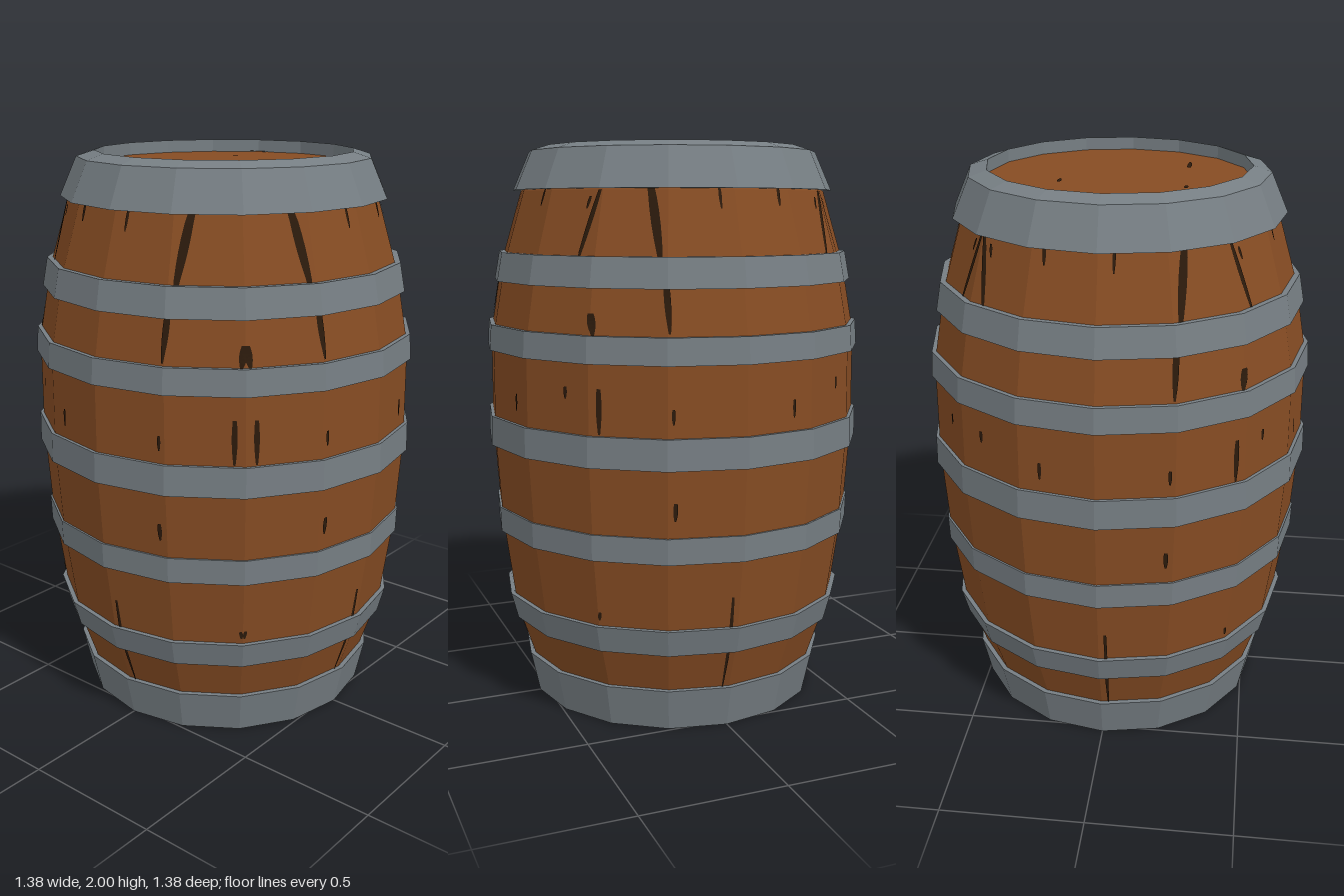
import * as THREE from 'three';

const SIDES = 16;

// wood outline from the foot up to the lid: [radius, height]
const STAVES = [
  [0.53, 0.05], [0.545, 0.15], [0.595, 0.3], [0.615, 0.39], [0.648, 0.63], [0.657, 0.72],
  [0.672, 0.95], [0.674, 1.05], [0.672, 1.29], [0.664, 1.38], [0.637, 1.53], [0.615, 1.63],
  [0.552, 1.84], [0.5, 1.945],
];
const LID_Y = 1.955;

// hoops: [bottom height, bottom radius, top height, top radius]
const HOOPS = [
  [0.295, 0.607, 0.39, 0.632],
  [0.63, 0.661, 0.72, 0.664],
  [0.95, 0.688, 1.055, 0.686],
  [1.29, 0.686, 1.38, 0.68],
  [1.53, 0.654, 1.63, 0.635],
];

// cracks in the staves: [sideways position, top, bottom, width]
const CRACKS = [
  [-0.258, 1.86, 1.6, 0.026], [-0.248, 1.56, 1.39, 0.02], [-0.24, 1.15, 1.1, 0.012],
  [-0.23, 0.84, 0.78, 0.016], [0.385, 1.84, 1.6, 0.016], [0.36, 1.82, 1.78, 0.01],
  [-0.46, 1.45, 1.38, 0.022], [-0.448, 1.21, 1.06, 0.016], [-0.05, 1.85, 1.78, 0.01],
  [0.17, 1.85, 1.79, 0.012], [0.185, 1.16, 1.1, 0.012], [0.4, 1.21, 1.17, 0.012],
  [-0.025, 0.5, 0.15, 0.012], [-0.435, 0.44, 0.41, 0.01],
];

// cracks in the lid: [x, back z, front z, width]
const LID_CRACKS = [
  [-0.243, -0.375, -0.265, 0.018], [-0.24, -0.17, -0.135, 0.014], [0.19, -0.13, -0.08, 0.014],
  [0.41, -0.2, -0.12, 0.025], [-0.44, -0.07, 0.04, 0.016], [-0.23, 0.14, 0.23, 0.016],
];

function radiusAt(y) {
  for (let i = 1; i < STAVES.length; i++) {
    const [r0, y0] = STAVES[i - 1], [r1, y1] = STAVES[i];
    if (y <= y1) return r0 + (r1 - r0) * (y - y0) / (y1 - y0);
  }
  return 0.5;
}

// how far out the faceted barrel wall lies at a sideways position u
function wallDepth(u, y) {
  const apothem = radiusAt(y) * Math.cos(Math.PI / SIDES);
  let depth = Infinity;
  for (let k = 0; k < 3; k++) {
    const a = (k + 0.5) * 2 * Math.PI / SIDES;
    depth = Math.min(depth, (apothem - Math.abs(u) * Math.sin(a)) / Math.cos(a));
  }
  return depth + 0.004;
}

// tapered strip; place(u, v) gives the point in space
function crackGeometry([u, v0, v1, width], place) {
  const steps = 6, pos = [], index = [];
  for (let i = 0; i <= steps; i++) {
    const t = i / steps, v = v0 + (v1 - v0) * t;
    const half = width / 2 * (0.25 + 0.75 * Math.sin(Math.PI * (0.2 + 0.75 * t)));
    pos.push(...place(u - half, v), ...place(u + half, v));
    if (i < steps) {
      const a = i * 2;
      index.push(a, a + 2, a + 1, a + 1, a + 2, a + 3);
    }
  }
  const geo = new THREE.BufferGeometry();
  geo.setAttribute('position', new THREE.Float32BufferAttribute(pos, 3));
  geo.setIndex(index);
  geo.computeVertexNormals();
  return geo;
}

export function createModel() {
  const wood = new THREE.MeshStandardMaterial({ name: 'wood', color: 0x864c23, flatShading: true });
  const metal = new THREE.MeshStandardMaterial({ name: 'metal', color: 0x767e83, flatShading: true });
  const dark = new THREE.MeshStandardMaterial({
    name: 'crackBrown', color: 0x2b1a0c, flatShading: true, side: THREE.DoubleSide,
  });
  const model = new THREE.Group();
  model.name = 'barrel';

  const add = (name, geo, mat, parent = model) => {
    const mesh = new THREE.Mesh(geo, mat);
    mesh.name = name;
    parent.add(mesh);
  };
  const lathe = (points) =>
    new THREE.LatheGeometry(points.map(([r, y]) => new THREE.Vector2(r, y)), SIDES);

  // wooden body and recessed lid
  add('staves', lathe(STAVES), wood);
  add('lid', lathe([[0.5, LID_Y], [0, LID_Y]]), wood);

  // metal foot, with the closed underside
  add('footHoop', lathe([[0, 0], [0.53, 0], [0.563, 0.15], [0.53, 0.15]]), metal);

  // hoops round the belly
  HOOPS.forEach(([y0, r0, y1, r1], i) => {
    add(`hoop${i + 1}`, lathe([[r0 - 0.04, y0], [r0, y0], [r1, y1], [r1 - 0.04, y1]]), metal);
  });

  // top hoop folding over the rim
  add('topHoop', lathe([
    [0.53, 1.845], [0.58, 1.845], [0.52, 1.98], [0.457, 2], [0.457, LID_Y - 0.01],
  ]), metal);

  // cracks on the four sides: front and back mirror each other, as do left and right
  const sides = {
    front: (u, y) => [u, y, wallDepth(u, y)],
    back: (u, y) => [u, y, -wallDepth(u, y)],
    left: (u, y) => [wallDepth(u, y), y, -u],
    right: (u, y) => [-wallDepth(u, y), y, -u],
  };
  for (const [side, place] of Object.entries(sides)) {
    const group = new THREE.Group();
    group.name = `${side}Cracks`;
    CRACKS.forEach((c) => add('crack', crackGeometry(c, place), dark, group));
    model.add(group);
  }

  // cracks on the lid
  const lidCracks = new THREE.Group();
  lidCracks.name = 'lidCracks';
  LID_CRACKS.forEach((c) =>
    add('crack', crackGeometry(c, (u, v) => [u, LID_Y + 0.003, v]), dark, lidCracks));
  model.add(lidCracks);

  return model;
}
